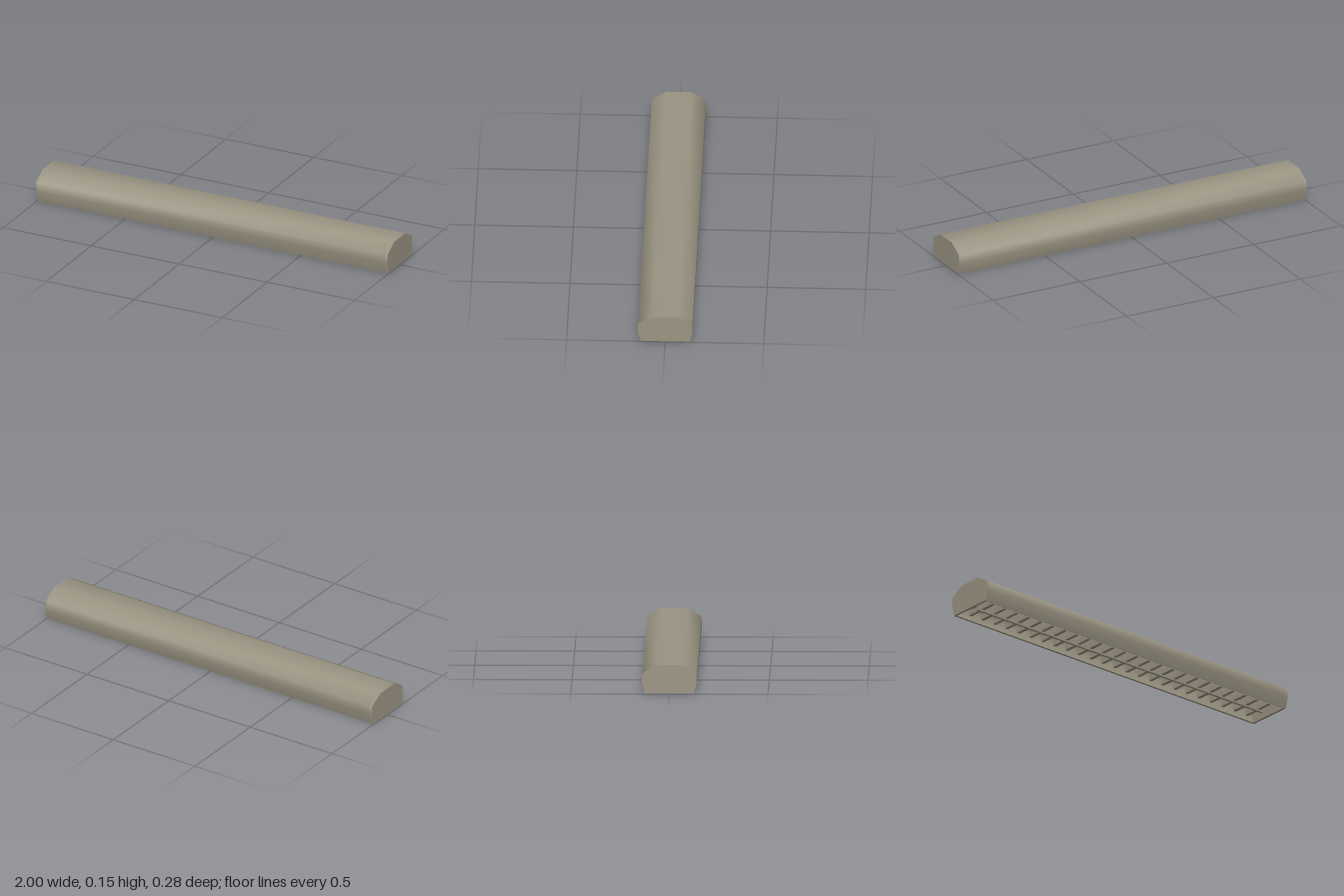
import * as THREE from 'three';
import { toCreasedNormals } from 'three/addons/utils/BufferGeometryUtils.js';

const material = new THREE.MeshStandardMaterial({ color: 0x9a9482, side: THREE.DoubleSide });

// Half cross-sections as [depth, height], from the bottom lip to the top
const OUTER = [[0.122, 0], [0.139, 0.06], [0.137, 0.107], [0.063, 0.15]];
const INNER = [[0.115, 0.003], [0.131, 0.06], [0.129, 0.102], [0.06, 0.142]];

const mirrored = (half) => half.map(([z, y]) => [-z, y]).reverse();

function toShape(points) {
  return new THREE.Shape(points.map(([z, y]) => new THREE.Vector2(z, y)));
}

// Extrudes a cross-section along x, centred on x = 0
function extrudeX(shape, length) {
  const geo = new THREE.ExtrudeGeometry(shape, { depth: length, bevelEnabled: false });
  geo.translate(0, 0, -length / 2);
  geo.rotateY(Math.PI / 2);
  return toCreasedNormals(geo, 1.1);
}

function addMesh(parent, name, geometry, x = 0, y = 0, z = 0) {
  const mesh = new THREE.Mesh(geometry, material);
  mesh.name = name;
  mesh.position.set(x, y, z);
  parent.add(mesh);
  return mesh;
}

export function createModel() {
  const model = new THREE.Group();
  model.name = 'louvredHousing';

  // Thin shell, open underneath
  const cap = 0.012;
  const shell = toShape([...OUTER, ...mirrored(OUTER), ...INNER.map(([z, y]) => [-z, y]), ...mirrored(INNER).map(([z, y]) => [-z, y])]);
  addMesh(model, 'shell', extrudeX(shell, 2 - 2 * cap));

  // End plates
  const plate = [[0.115, 0.003], ...OUTER, ...mirrored(OUTER), [-0.115, 0.003]];
  const endGeo = extrudeX(toShape(plate), cap);
  for (const side of [1, -1]) {
    addMesh(model, side > 0 ? 'leftEnd' : 'rightEnd', endGeo, side * (1 - cap / 2));
  }

  // Central spine of the louvre
  addMesh(model, 'spine', new THREE.BoxGeometry(1.9, 0.07, 0.012), 0, 0.04, 0);

  // Cross slats on both sides of the spine
  const slats = new THREE.Group();
  slats.name = 'slats';
  model.add(slats);
  const count = 24;
  const slatGeo = new THREE.BoxGeometry(0.018, 0.022, 0.18);
  for (let i = 0; i < count; i++) {
    addMesh(slats, 'slat', slatGeo, -0.92 + (1.84 * i) / (count - 1), 0.025, 0);
  }

  return model;
}
